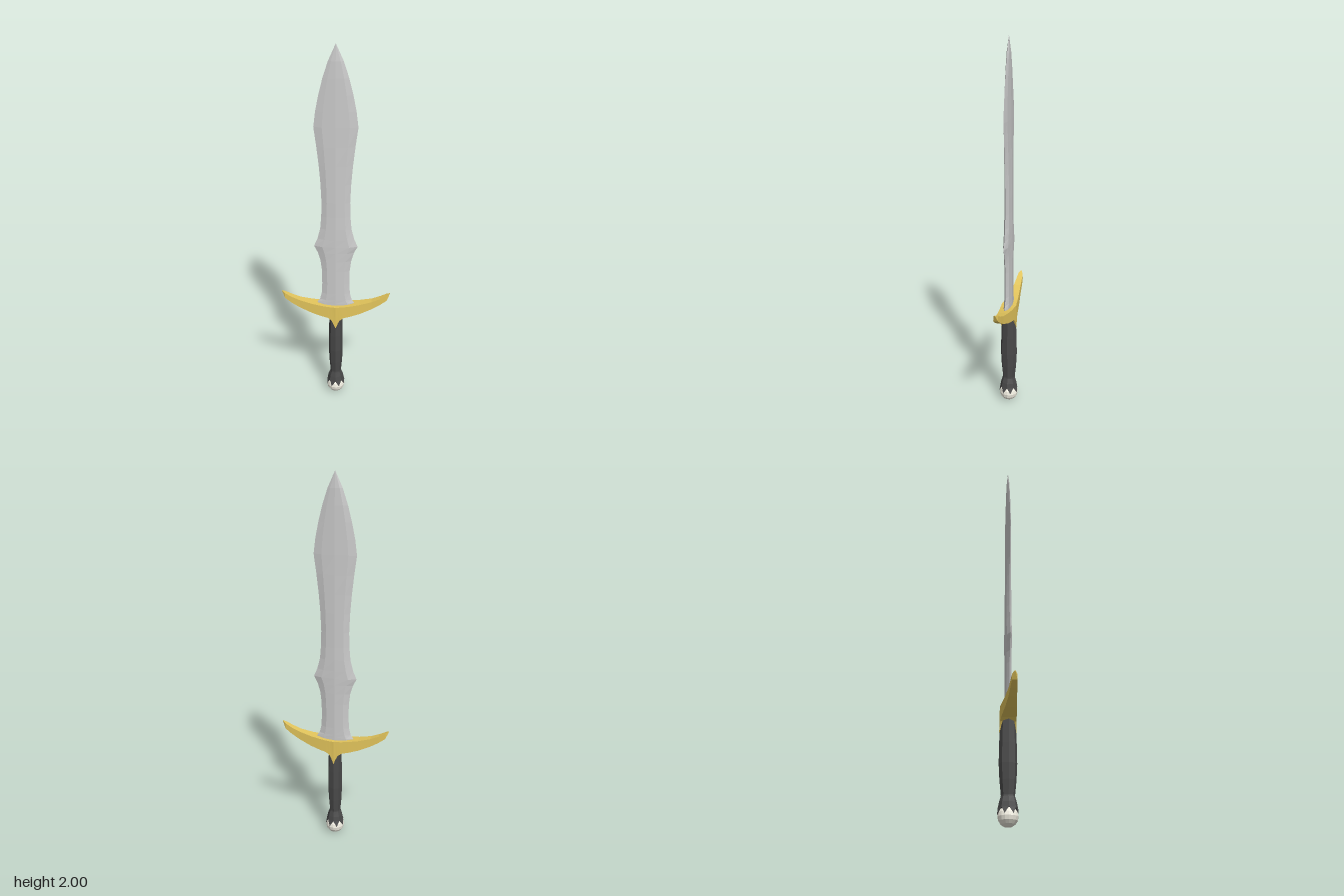
import * as THREE from 'three';

const material = (color) => new THREE.MeshStandardMaterial({ color, flatShading: true });

// Skins a series of rings, each counter-clockwise seen from the end of the loft
function loft(rings, name, mat) {
  const pos = [];
  const tri = (a, b, c) => pos.push(...a, ...b, ...c);
  const n = rings[0].length;
  for (let r = 0; r < rings.length - 1; r++) {
    const a = rings[r], b = rings[r + 1];
    for (let i = 0; i < n; i++) {
      const j = (i + 1) % n;
      tri(a[i], a[j], b[j]);
      tri(a[i], b[j], b[i]);
    }
  }
  const first = rings[0], last = rings[rings.length - 1];
  for (let i = 1; i < n - 1; i++) {
    tri(first[0], first[i + 1], first[i]);
    tri(last[0], last[i], last[i + 1]);
  }
  return finish(pos, name, mat);
}

function finish(pos, name, mat) {
  const geo = new THREE.BufferGeometry();
  geo.setAttribute('position', new THREE.Float32BufferAttribute(pos, 3));
  geo.computeVertexNormals();
  const mesh = new THREE.Mesh(geo, mat);
  mesh.name = name;
  return mesh;
}

// Horizontal elliptical ring with eight corners
const SIDES = 8;
const corner = (y, rx, rz, i) => {
  const t = (i / SIDES) * Math.PI * 2;
  return [rx * Math.cos(t), y, -rz * Math.sin(t)];
};
const ring = ([y, rx, rz]) => Array.from({ length: SIDES }, (_, i) => corner(y, rx, rz, i));

export function createModel() {
  const group = new THREE.Group();
  const steel = material(0xcccccc);
  const gold = material(0xe3c55c);
  const dark = material(0x4a4a4a);
  const pale = material(0xf2efe2);

  // Leaf-shaped blade: height, half width, half thickness
  const blade = [
    [0.57, 0.108, 0.018], [0.60, 0.1, 0.018], [0.62, 0.086, 0.018], [0.66, 0.076, 0.018],
    [0.72, 0.073, 0.018], [0.80, 0.074, 0.018], [0.86, 0.081, 0.018], [0.91, 0.095, 0.018],
    [0.947, 0.114, 0.018], [0.99, 0.096, 0.018], [1.05, 0.081, 0.018], [1.12, 0.075, 0.017],
    [1.20, 0.073, 0.017], [1.30, 0.077, 0.016], [1.40, 0.085, 0.015], [1.50, 0.096, 0.014],
    [1.60, 0.109, 0.013], [1.68, 0.099, 0.012], [1.76, 0.083, 0.011], [1.84, 0.063, 0.01],
    [1.92, 0.037, 0.008], [2, 0.0005, 0.0005],
  ];
  group.add(loft(blade.map(([y, w, t]) => [
    [w, y, 0], [0.62 * w, y, -0.72 * t], [0, y, -t], [-0.62 * w, y, -0.72 * t],
    [-w, y, 0], [-0.62 * w, y, 0.72 * t], [0, y, t], [0.62 * w, y, 0.72 * t],
  ]), 'blade', steel));

  // Curved crossguard: x, bottom, top, half depth
  const half = [
    [0, 0.455, 0.588, 0.043], [0.012, 0.485, 0.589, 0.041], [0.022, 0.505, 0.589, 0.04],
    [0.042, 0.521, 0.59, 0.038], [0.08, 0.53, 0.594, 0.034], [0.13, 0.545, 0.602, 0.028],
    [0.195, 0.573, 0.618, 0.02], [0.24, 0.6, 0.637, 0.017], [0.275, 0.626, 0.656, 0.013],
    [0.292, 0.663, 0.667, 0.001],
  ];
  const guard = [...half.slice(1).reverse().map(([x, ...rest]) => [-x, ...rest]), ...half];
  group.add(loft(guard.map(([x, low, high, d]) => [
    [x, low, -d], [x, high, -d * 0.94], [x, high, d * 0.94], [x, low, d],
  ]), 'crossguard', gold));

  // Eight-sided grip, swelling in the middle
  group.add(loft([
    [0.12, 0.033, 0.036], [0.15, 0.03, 0.034], [0.22, 0.036, 0.041], [0.3, 0.039, 0.045],
    [0.4, 0.038, 0.043], [0.53, 0.035, 0.038],
  ].map(ring), 'grip', dark));

  // Pommel stone
  const stone = new THREE.Mesh(new THREE.SphereGeometry(0.05, 16, 8), pale);
  stone.name = 'pommelStone';
  stone.position.y = 0.05;
  group.add(stone);

  // Collar flaring over the stone, ending in pointed claws
  const collar = new THREE.Group();
  collar.name = 'pommelCollar';
  collar.add(loft([[0.09, 0.046, 0.048], [0.115, 0.041, 0.043], [0.145, 0.03, 0.034]].map(ring), 'collar', dark));
  const claws = [];
  for (let i = 0; i < SIDES; i++) {
    claws.push(
      ...corner(0.058, 0.053, 0.054, i + 0.5),
      ...corner(0.09, 0.046, 0.048, i + 1),
      ...corner(0.09, 0.046, 0.048, i),
    );
  }
  const clawMat = dark.clone();
  clawMat.side = THREE.DoubleSide;
  collar.add(finish(claws, 'claws', clawMat));
  group.add(collar);

  return group;
}
